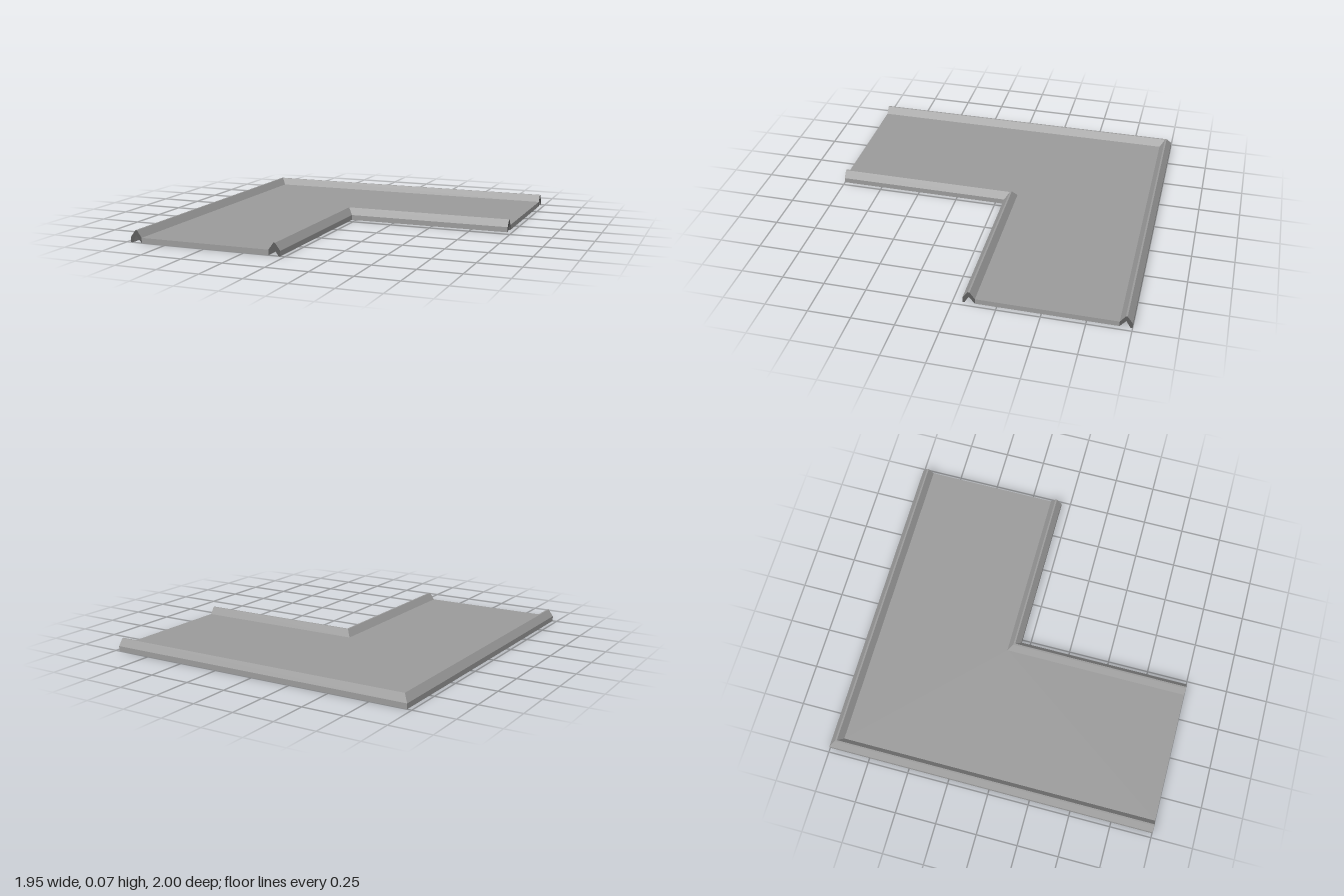
import * as THREE from 'three';

const X = 0.973, Z = 1, WIDTH = 0.945;

// Section point [distance from outer edge, height] placed at the front end, the mitre and the left end.
const stations = [
  ([d, y]) => [-X + d, y, Z],
  ([d, y]) => [-X + d, y, -Z + d],
  ([d, y]) => [X, y, -Z + d],
];

function makeMesh(name, positions, color) {
  const geometry = new THREE.BufferGeometry();
  geometry.setAttribute('position', new THREE.Float32BufferAttribute(positions, 3));
  geometry.computeVertexNormals();
  const material = new THREE.MeshStandardMaterial({ color, flatShading: true });
  const mesh = new THREE.Mesh(geometry, material);
  mesh.name = name;
  return mesh;
}

// Long faces of a clockwise section; its closing edge stays open against the neighbouring part.
function sweepL(section) {
  const positions = [];
  for (let s = 0; s < 2; s++) {
    for (let i = 0; i < section.length - 1; i++) {
      const a = stations[s](section[i]), b = stations[s](section[i + 1]);
      const c = stations[s + 1](section[i + 1]), d = stations[s + 1](section[i]);
      positions.push(...a, ...b, ...c, ...a, ...c, ...d);
    }
  }
  return positions;
}

// Both end faces of a section.
function endCaps(section) {
  const positions = [];
  const outline = section.map(([d, y]) => new THREE.Vector2(d, y));
  for (const face of THREE.ShapeUtils.triangulateShape(outline, [])) {
    const [a, b, c] = face.map(i => section[i]);
    const ccw = (b[0] - a[0]) * (c[1] - a[1]) - (b[1] - a[1]) * (c[0] - a[0]) > 0;
    const order = ccw ? [a, b, c] : [a, c, b];
    positions.push(...order.flatMap(stations[0]), ...order.reverse().flatMap(stations[2]));
  }
  return positions;
}

export function createModel() {
  const group = new THREE.Group();
  group.name = 'cornerTray';
  const GREY = 0x9b9b9b, DARK = 0x5d5d5d;
  const foot = 0.071, top = 0.031;

  // flat L-shaped floor
  const floor = [[foot, top], [WIDTH - foot, top], [WIDTH - foot, 0], [foot, 0]];
  group.add(makeMesh('floor', [...sweepL(floor), ...endCaps(floor)], GREY));

  // folded rims with a hollow underneath, mirrored across the tray, with dark cut ends
  const outerRim = [
    [foot, 0], [0.036, 0.042], [0.012, 0], [0, 0], [0, top],
    [0.031, 0.073], [0.041, 0.073], [foot, top],
  ];
  const innerRim = outerRim.map(([d, y]) => [WIDTH - d, y]).reverse();
  for (const [name, rim] of [['outerRim', outerRim], ['innerRim', innerRim]]) {
    group.add(makeMesh(name, sweepL(rim), GREY));
    group.add(makeMesh(name + 'Ends', endCaps(rim), DARK));
  }
  return group;
}
